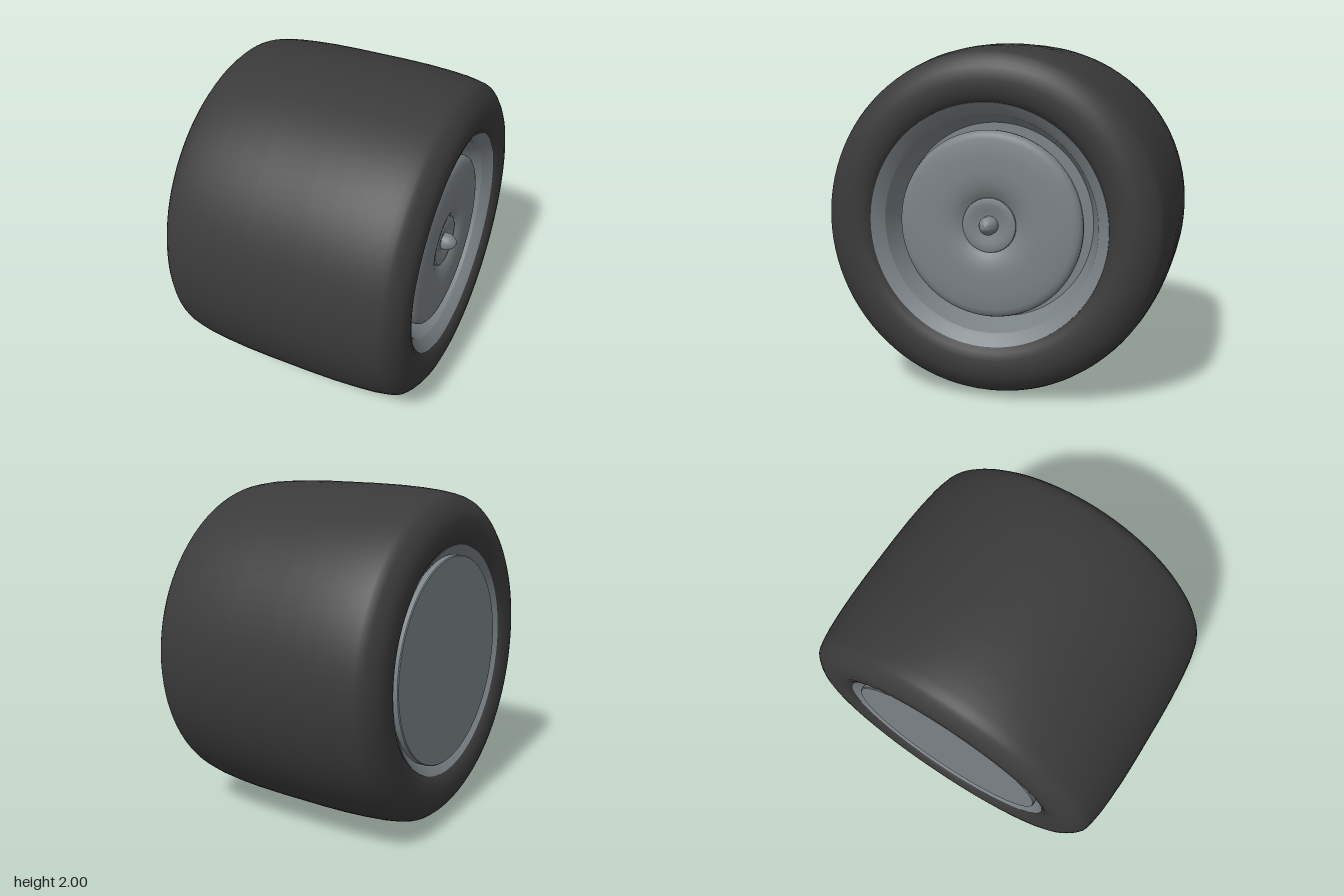
import * as THREE from 'three';
import { toCreasedNormals } from 'three/addons/utils/BufferGeometryUtils.js';

const SEGMENTS = 96;

// Revolves [radius, x] profile points around the x axle
function revolve(name, points, material, crease = 0.5) {
  const profile = points.map(([r, x]) => new THREE.Vector2(r, x));
  const geometry = new THREE.LatheGeometry(profile, SEGMENTS);
  geometry.rotateZ(-Math.PI / 2);
  const mesh = new THREE.Mesh(toCreasedNormals(geometry, crease), material);
  mesh.name = name;
  return mesh;
}

// Mirrors a half profile to the other side of the wheel
const mirrored = (half) => [
  ...half.map(([r, x]) => [r, -x]),
  ...half.slice().reverse(),
];

export function createModel() {
  const rubber = new THREE.MeshStandardMaterial({ color: 0x3a3a3a });
  rubber.name = 'black rubber';
  const metal = new THREE.MeshStandardMaterial({ color: 0x7b8286 });
  metal.name = 'grey metal';

  const wheel = new THREE.Group();
  wheel.name = 'wheel';

  // Wide slick tyre: bead, bulging sidewall, rounded shoulder, crowned tread
  const tyreHalf = [
    [0.67, 0.69], [0.68, 0.71], [0.71, 0.73], [0.75, 0.742], [0.8, 0.745],
    [0.84, 0.74], [0.87, 0.73], [0.9, 0.713], [0.93, 0.69], [0.95, 0.668],
    [0.96, 0.645], [0.968, 0.61], [0.98, 0.54], [0.99, 0.43], [0.997, 0.3],
    [1, 0.15],
  ];
  const tyre = revolve('tyre', mirrored(tyreHalf), rubber, 0.7);

  // Outer rim: flared lip and steep inner wall behind the dish
  const outerRim = revolve('outerRim', [
    [0, 0.5], [0.56, 0.5], [0.615, 0.66], [0.64, 0.685], [0.68, 0.715], [0.685, 0.69],
  ].reverse(), metal, 0.45);
  outerRim.material = metal;

  // Inner rim lip on the closed side
  const innerRim = revolve('innerRim', [
    [0.6, -0.64], [0.62, -0.67], [0.645, -0.69], [0.68, -0.715], [0.685, -0.69],
  ], metal, 0.45);

  // Flat cover plate closing the inner side
  const cover = revolve('innerCover', [
    [0, -0.71], [0.615, -0.71], [0.62, -0.705], [0.62, -0.64],
  ], metal);

  // Dished wheel face with rounded edge and funnel towards the hub
  const dish = revolve('dish', [
    [0.5, 0.56], [0.525, 0.6], [0.527, 0.63], [0.52, 0.648], [0.505, 0.66],
    [0.48, 0.667], [0.4, 0.674], [0.3, 0.677], [0.25, 0.675], [0.21, 0.667],
    [0.18, 0.656], [0.155, 0.642],
  ], metal, 0.7);

  // Hub disc with a shallow hollow around the nut
  const hub = revolve('hub', [
    [0.155, 0.635], [0.153, 0.65], [0.145, 0.654], [0.11, 0.652],
    [0.08, 0.646], [0.05, 0.64], [0, 0.64],
  ], metal, 0.6);

  // Pointed axle nut
  const nut = revolve('axleNut', [
    [0.052, 0.635], [0.052, 0.672], [0.044, 0.69], [0.025, 0.712],
    [0.012, 0.72], [0, 0.722],
  ], metal, 0.7);

  wheel.add(tyre, outerRim, innerRim, cover, dish, hub, nut);

  // Keep every lathe skin facing away from the body it encloses
  metal.side = THREE.DoubleSide;
  rubber.side = THREE.DoubleSide;

  wheel.position.y = 1;
  const model = new THREE.Group();
  model.name = 'racingWheel';
  model.add(wheel);
  return model;
}
